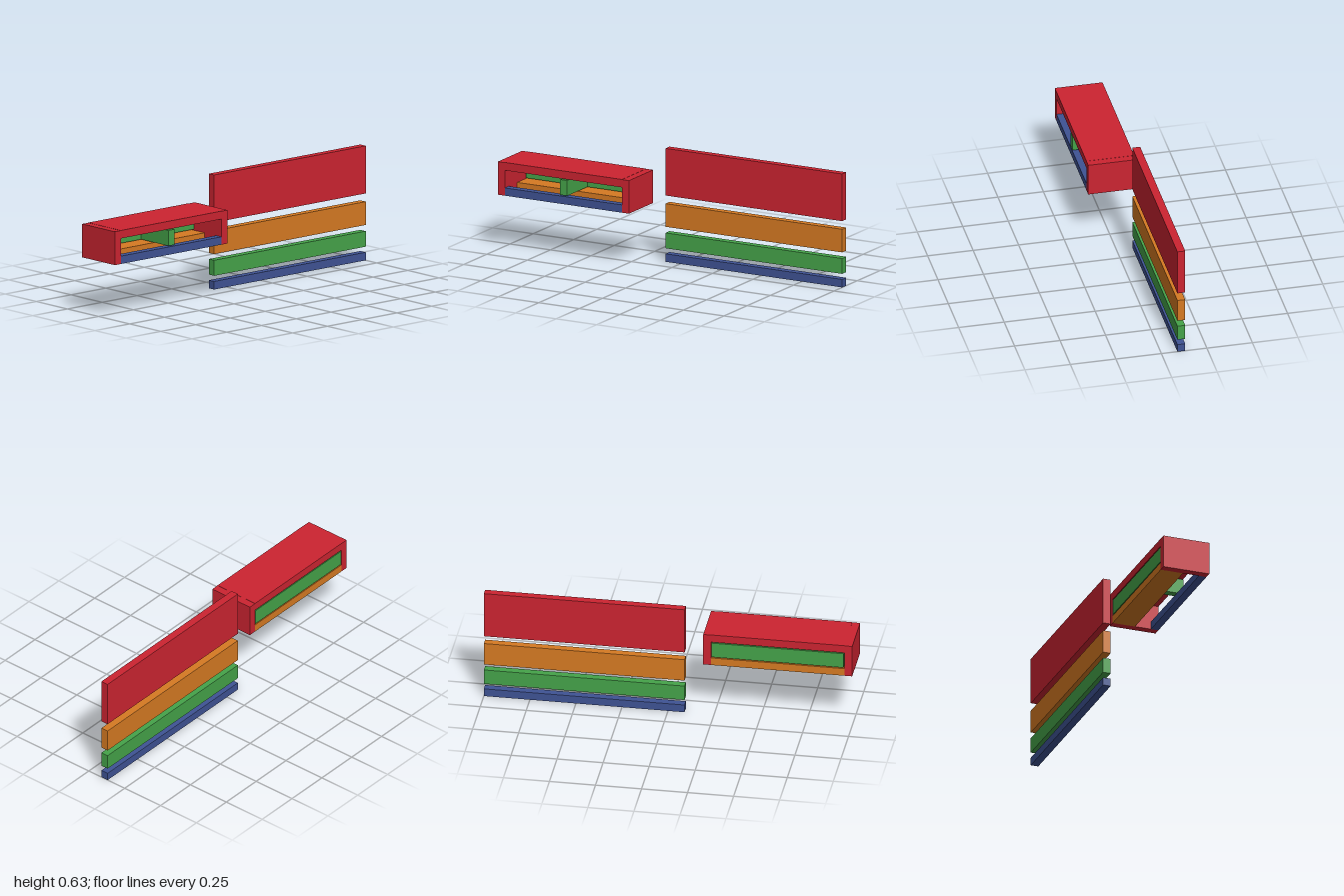
import * as THREE from 'three';

const material = (color) => new THREE.MeshStandardMaterial({ color });

export function createModel() {
  const red = material(0xcc2431);
  const orange = material(0xd67a22);
  const green = material(0x45a349);
  const blue = material(0x3f5394);
  const T = 0.043; // board thickness

  // Box given by its [min, max] range on each axis
  const board = (parent, name, mat, [x0, x1], [y0, y1], [z0, z1]) => {
    const mesh = new THREE.Mesh(new THREE.BoxGeometry(x1 - x0, y1 - y0, z1 - z0), mat);
    mesh.position.set((x0 + x1) / 2, (y0 + y1) / 2, (z0 + z1) / 2);
    mesh.name = name;
    parent.add(mesh);
  };

  const model = new THREE.Group();
  model.name = 'shelfAndStockBoards';
  const back = -0.131, front = 0.131;

  // Uncut boards, stacked from widest to narrowest
  const stock = new THREE.Group();
  stock.name = 'stockBoards';
  for (const [name, mat, y0, y1] of [
    ['wideBoard', red, 0.367, 0.628],
    ['mediumBoard', orange, 0.194, 0.322],
    ['narrowBoard', green, 0.075, 0.16],
    ['squareStrip', blue, 0, 0.044],
  ]) board(stock, name, mat, [-0.09, 1], [y0, y1], [back, back + T]);

  // Assembled shelf box
  const shelf = new THREE.Group();
  shelf.name = 'shelfBox';
  const left = -1, right = -0.191, bottom = 0.303, top = 0.486;
  const inner = [left + T, right - T];
  const low = [bottom, bottom + T];
  const middle = [0.352, 0.437];

  // Red shell
  board(shelf, 'rightSide', red, [left, inner[0]], [bottom, top], [back, front]);
  board(shelf, 'leftSide', red, [inner[1], right], [bottom, top], [back, front]);
  board(shelf, 'topPanel', red, inner, [top - T, top + 0.001], [back, front]);

  // Bottom plank, front rail, back panel and centre divider
  board(shelf, 'bottomPlank', orange, inner, low, [back, back + 0.128]);
  board(shelf, 'frontRail', blue, inner, low, [front - T, front]);
  board(shelf, 'backPanel', green, [inner[0] + 0.004, inner[1] - 0.002], middle, [back, back + T]);
  board(shelf, 'centreDivider', green, [-0.615, -0.572], middle, [back + T, front]);

  model.add(stock, shelf);
  return model;
}
